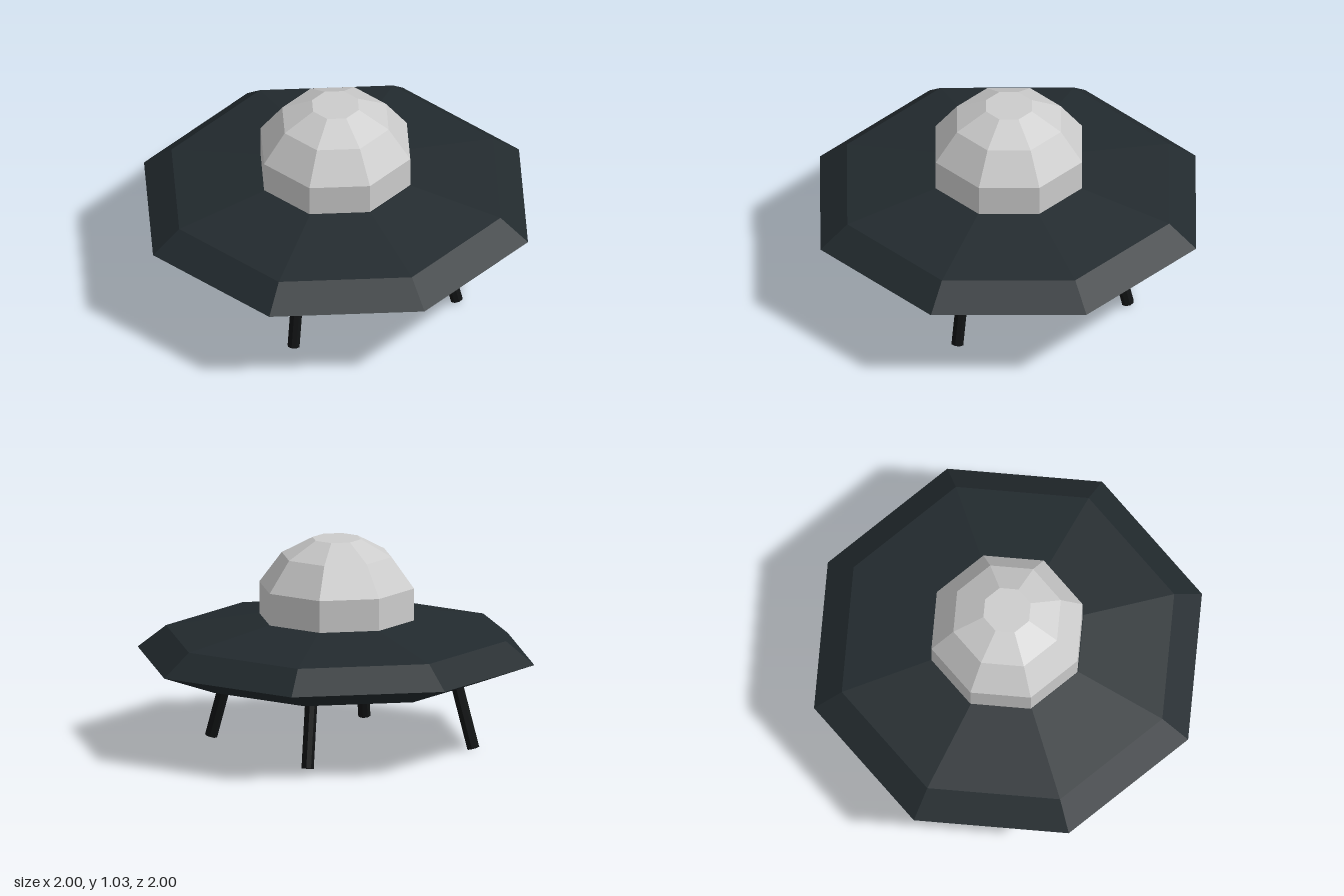
import * as THREE from 'three';

const SIDES = 8;

function material(color) {
  return new THREE.MeshStandardMaterial({ color, flatShading: true });
}

// Eight-sided solid of revolution from [radius, height] pairs, bottom to top
function turned(name, profile, mat) {
  const points = profile.map(([r, y]) => new THREE.Vector2(r, y));
  const mesh = new THREE.Mesh(new THREE.LatheGeometry(points, SIDES), mat);
  mesh.name = name;
  return mesh;
}

// Round bar between a foot point and a top point
function bar(name, foot, top, radius, mat) {
  const axis = top.clone().sub(foot);
  const mesh = new THREE.Mesh(new THREE.CylinderGeometry(radius, radius, axis.length(), SIDES), mat);
  mesh.position.copy(foot).add(top).multiplyScalar(0.5);
  mesh.quaternion.setFromUnitVectors(new THREE.Vector3(0, 1, 0), axis.normalize());
  mesh.name = name;
  return mesh;
}

export function createModel() {
  const model = new THREE.Group();
  model.name = 'flyingSaucer';
  const hullMat = material(0x222a2e);
  const domeMat = material(0xcccccc);
  const legMat = material(0x101213);

  // Saucer hull with a sharp rim
  model.add(turned('hull', [[0, 0.338], [0.71, 0.338], [1, 0.443], [0.857, 0.557], [0.39, 0.641], [0, 0.641]], hullMat));

  // Faceted cabin dome with a straight base and a flat cap
  const dome = turned('dome', [[0.39, 0.64], [0.39, 0.8], [0.277, 0.953], [0.122, 1.036], [0, 1.036]], domeMat);
  dome.position.set(-0.004, 0, -0.003);
  model.add(dome);

  // Four splayed legs: direction, radius at the foot and at the hull
  const legs = [
    ['leftLeg', 1, 0, 0.632, 0.543],
    ['rightLeg', -1, 0, 0.69, 0.602],
    ['frontLeg', 0, 1, 0.636, 0.563],
    ['backLeg', 0, -1, 0.638, 0.552],
  ];
  for (const [name, dx, dz, footR, topR] of legs) {
    const offset = dx ? 0.01 : 0; // side legs sit slightly forward
    const foot = new THREE.Vector3(dx * footR, 0.009, dz * footR + offset);
    const top = new THREE.Vector3(dx * topR, 0.345, dz * topR + offset);
    model.add(bar(name, foot, top, 0.031, legMat));
  }
  return model;
}
